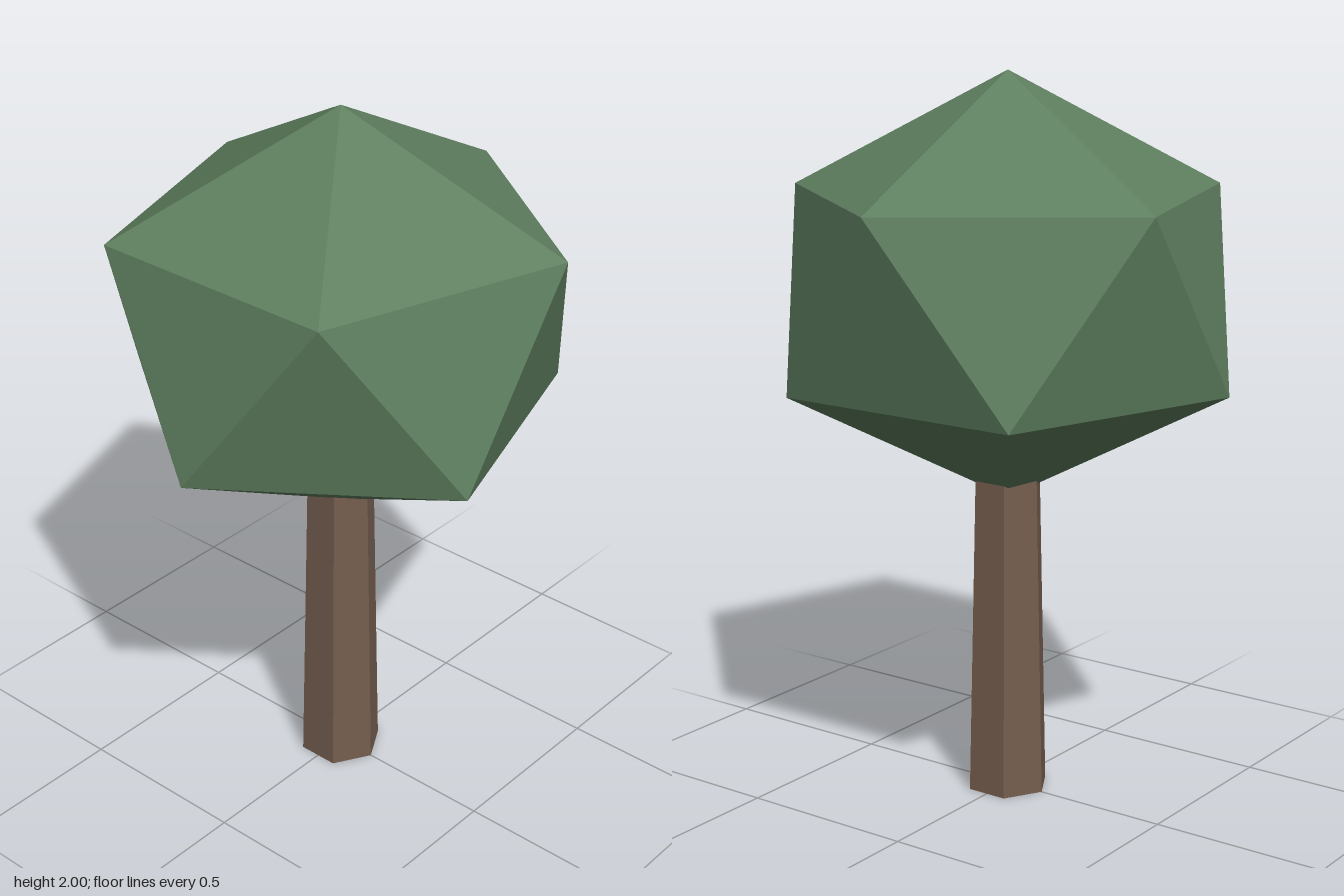
import * as THREE from 'three';

export function createModel() {
  const bark = new THREE.MeshStandardMaterial({ color: 0x765e4f });
  bark.name = 'barkBrown';
  bark.flatShading = true;
  const leaf = new THREE.MeshStandardMaterial({ color: 0x5f8060 });
  leaf.name = 'leafGreen';
  leaf.flatShading = true;

  const tree = new THREE.Group();
  tree.name = 'tree';

  // Tapered six-sided trunk, its top tucked inside the crown
  const trunk = new THREE.Mesh(new THREE.CylinderGeometry(0.096, 0.117, 0.92, 6), bark);
  trunk.name = 'trunk';
  trunk.position.y = 0.46;
  tree.add(trunk);

  // Icosahedron crown, turned to stand on a vertex and widened sideways
  const golden = (1 + Math.sqrt(5)) / 2;
  const crownGeometry = new THREE.IcosahedronGeometry(0.58, 0);
  crownGeometry.rotateZ(-Math.atan(1 / golden));
  crownGeometry.scale(1.18, 1, 1.18);
  crownGeometry.computeVertexNormals();
  const crown = new THREE.Mesh(crownGeometry, leaf);
  crown.name = 'crown';
  crown.position.y = 1.42;
  tree.add(crown);

  return tree;
}
